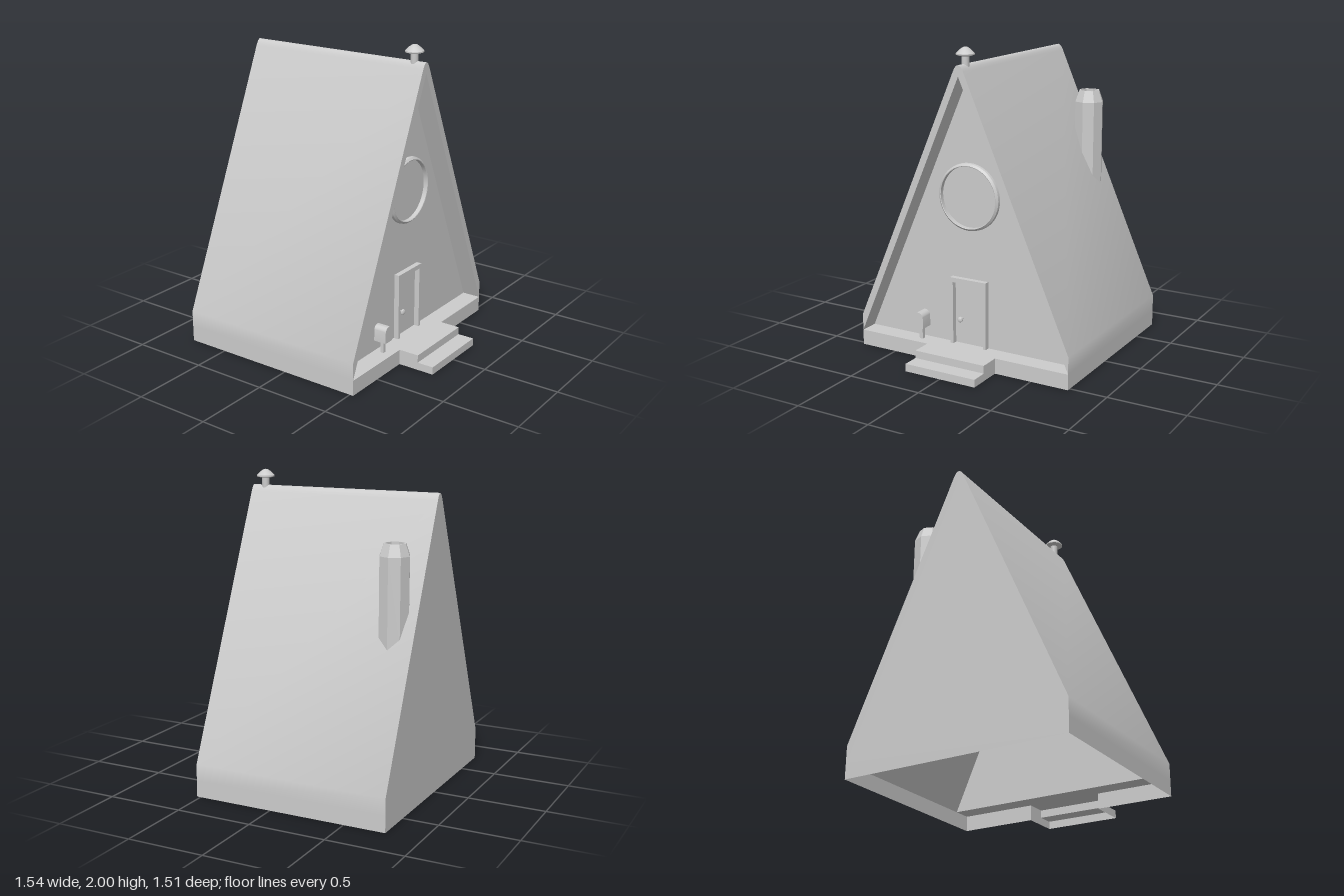
import * as THREE from 'three';
import { toCreasedNormals } from 'three/addons/utils/BufferGeometryUtils.js';

const BACK = -0.77, FRONT = 0.525, WALL = 0.4; // x of rear gable, roof front edge, recessed facade
const HALF = 0.755, SLOPE = 2.29;              // half width and roof pitch

const solid = new THREE.MeshStandardMaterial({ color: 0xcccccc });
const faceted = new THREE.MeshStandardMaterial({ color: 0xcccccc, flatShading: true });
const thin = new THREE.MeshStandardMaterial({ color: 0xcccccc, side: THREE.DoubleSide });

const v = (pts) => pts.map(([x, y]) => new THREE.Vector2(x, y));

export function createModel() {
  const house = new THREE.Group();
  house.name = 'aFrameCabin';

  function add(parent, name, geometry, material = solid) {
    const mesh = new THREE.Mesh(geometry, material);
    mesh.name = name;
    parent.add(mesh);
    return mesh;
  }

  // Profile in the gable plane, extruded along x from x0 to x1
  function extrudeX(shape, x0, x1) {
    const g = new THREE.ExtrudeGeometry(shape, { depth: x1 - x0, bevelEnabled: false, curveSegments: 8 });
    g.rotateY(Math.PI / 2).translate(x0, 0, 0);
    return toCreasedNormals(g, 0.6);
  }

  // Flat wall in the gable plane at a given x
  function wallX(points, x) {
    return new THREE.ShapeGeometry(new THREE.Shape(v(points))).rotateY(Math.PI / 2).translate(x, 0, 0);
  }

  // Four-cornered sheet, corners counter-clockwise seen from outside
  function sheet(a, b, c, d) {
    const g = new THREE.BufferGeometry();
    g.setAttribute('position', new THREE.Float32BufferAttribute([a, b, c, a, c, d].flat(), 3));
    g.computeVertexNormals();
    return g;
  }

  function lathe(points, segments, crease = 0.7) {
    return toCreasedNormals(new THREE.LatheGeometry(v(points), segments), crease);
  }

  // Roof: thick inverted V with a rounded ridge
  const roof = new THREE.Shape();
  roof.moveTo(HALF, 0.1);
  roof.lineTo(HALF, 0.21);
  roof.lineTo(0.035, 1.86);
  roof.quadraticCurveTo(0, 1.937, -0.035, 1.86);
  roof.lineTo(-HALF, 0.21);
  roof.lineTo(-HALF, 0.1);
  roof.lineTo(0, 1.83);
  roof.closePath();
  add(house, 'roof', extrudeX(roof, BACK, FRONT));

  // Rear gable, recessed front gable, low side walls
  add(house, 'rearWall', wallX([[-HALF, 0], [HALF, 0], [HALF, 0.1], [0, 1.83], [-HALF, 0.1]], BACK), thin);
  add(house, 'frontWall', wallX([[-HALF, 0.1], [HALF, 0.1], [0, 1.83]], WALL), thin);
  add(house, 'leftBaseWall',
    sheet([BACK, 0, HALF], [FRONT, 0, HALF], [FRONT, 0.1, HALF], [BACK, 0.1, HALF]), thin);
  add(house, 'rightBaseWall',
    sheet([FRONT, 0, -HALF], [BACK, 0, -HALF], [BACK, 0.1, -HALF], [FRONT, 0.1, -HALF]), thin);

  // Porch deck and its fascia on both sides of the steps
  const porch = new THREE.Group();
  porch.name = 'porch';
  house.add(porch);
  const deck = (x0, x1, y, w) => sheet([x0, y, w], [x1, y, w], [x1, y, -w], [x0, y, -w]);
  const riser = (x, y0, y1, z0, z1) => sheet([x, y0, z0], [x, y0, z1], [x, y1, z1], [x, y1, z0]);
  add(porch, 'deck', deck(WALL, FRONT, 0.1, HALF), thin);
  add(porch, 'fascia', riser(FRONT, 0, 0.1, HALF, 0.25), thin);
  add(porch, 'fascia', riser(FRONT, 0, 0.1, -0.25, -HALF), thin);

  // Steps: hollow underneath
  const W = 0.25, X1 = 0.66, X2 = 0.77;
  add(porch, 'upperTread', deck(FRONT, X1, 0.1, W), thin);
  add(porch, 'upperRiser', riser(X1, 0.05, 0.1, W, -W), thin);
  add(porch, 'lowerTread', deck(X1, X2, 0.05, W), thin);
  add(porch, 'lowerRiser', riser(X2, 0, 0.05, W, -W), thin);
  const cheek = new THREE.Shape(v([[FRONT, 0], [X2, 0], [X2, 0.05], [X1, 0.05], [X1, 0.1], [FRONT, 0.1]]));
  for (const z of [W, -W]) {
    add(porch, 'stepSide', new THREE.ShapeGeometry(cheek).translate(0, 0, z), thin);
  }

  // Door frame and knob
  const frame = new THREE.Shape(v([
    [-0.13, 0.1], [-0.11, 0.1], [-0.11, 0.51], [0.11, 0.51],
    [0.11, 0.1], [0.13, 0.1], [0.13, 0.54], [-0.13, 0.54],
  ]));
  add(house, 'doorFrame', extrudeX(frame, WALL, WALL + 0.035));
  const knob = add(house, 'doorKnob',
    lathe([[0.008, 0], [0.008, 0.012], [0.018, 0.02], [0.017, 0.03], [0.009, 0.037], [0, 0.038]], 12));
  knob.rotation.z = -Math.PI / 2;
  knob.position.set(WALL, 0.265, 0.063);

  // Round window rim
  const rim = add(house, 'windowRim',
    lathe([[0.215, 0], [0.213, 0.018], [0.2, 0.03], [0.196, 0.028], [0.196, 0]], 48, 0.5));
  rim.rotation.z = -Math.PI / 2;
  rim.position.set(WALL, 1.07, 0);

  // Letterbox with arched top
  const box = new THREE.Shape();
  box.moveTo(-0.035, 0.18);
  box.lineTo(0.035, 0.18);
  box.lineTo(0.035, 0.25);
  box.absarc(0, 0.25, 0.035, 0, Math.PI, false);
  box.closePath();
  const letterbox = new THREE.Group();
  letterbox.name = 'letterbox';
  letterbox.position.set(0.455, 0, 0.335);
  house.add(letterbox);
  add(letterbox, 'letterboxBody', extrudeX(box, -0.043, 0.043));
  add(letterbox, 'letterboxPost', new THREE.BoxGeometry(0.024, 0.08, 0.024).translate(0, 0.14, 0));

  // Eight-sided chimney, foot cut to follow the roof slope
  const chimneyGeo = new THREE.LatheGeometry(v([
    [0.097, 1], [0.097, 1.55], [0.07, 1.625], [0.06, 1.625], [0.06, 1.53], [0, 1.53],
  ]), 8).translate(-0.615, 0, -0.315);
  const p = chimneyGeo.attributes.position;
  for (let i = 0; i < p.count; i++) {
    if (p.getY(i) < 1.01) p.setY(i, 1.89 - SLOPE * Math.abs(p.getZ(i)));
  }
  add(house, 'chimney', chimneyGeo, faceted);

  // Ridge vent with a small conical cap
  const vent = new THREE.Group();
  vent.name = 'ridgeVent';
  vent.position.set(0.44, 0, 0);
  house.add(vent);
  add(vent, 'ventPipe', new THREE.CylinderGeometry(0.024, 0.024, 0.08, 16).translate(0, 1.915, 0));
  add(vent, 'ventCap',
    lathe([[0, 1.945], [0.035, 1.945], [0.058, 1.952], [0.058, 1.96], [0.035, 1.983], [0.015, 1.997], [0, 2]], 16));

  return house;
}
